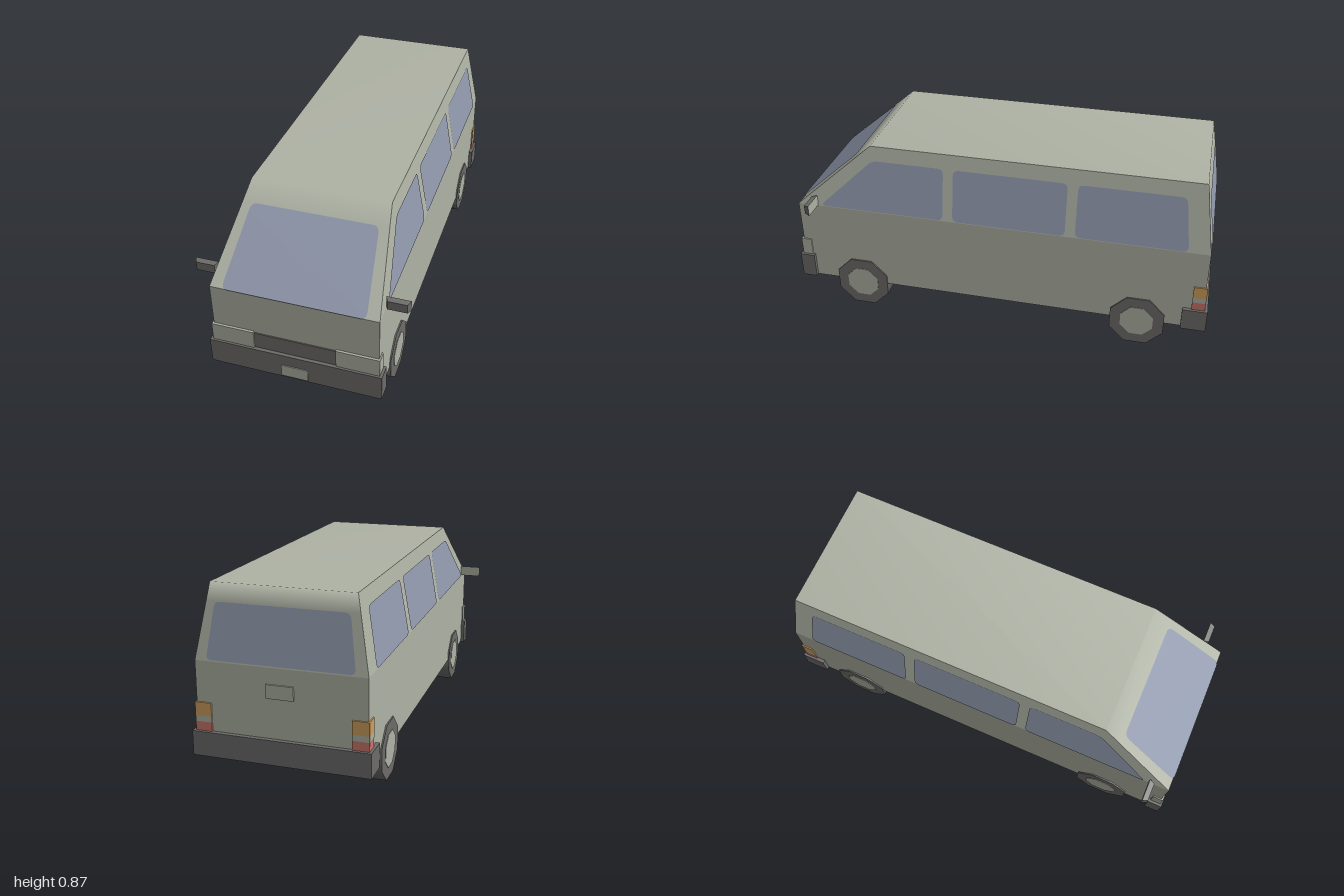
import * as THREE from 'three';

const material = (name, color, side = THREE.FrontSide) => {
  const m = new THREE.MeshStandardMaterial({ color, side });
  m.name = name;
  return m;
};

export function createModel() {
  const van = new THREE.Group();
  van.name = 'van';
  const paint = material('body paint', 0xafb3a5);
  const glass = material('window glass', 0x9098ac);
  const trim = material('dark trim', 0x6e6c6b);
  const amber = material('amber lamp', 0xcfa05c);
  const red = material('red lamp', 0xc8766a);

  const add = (name, geometry, mat) => {
    const mesh = new THREE.Mesh(geometry, mat);
    mesh.name = name;
    van.add(mesh);
    return mesh;
  };
  // Box given by its minimum and maximum on each axis
  const box = (name, mat, x0, x1, y0, y1, z0, z1) => {
    const mesh = add(name, new THREE.BoxGeometry(x1 - x0, y1 - y0, z1 - z0), mat);
    mesh.position.set((x0 + x1) / 2, (y0 + y1) / 2, (z0 + z1) / 2);
    return mesh;
  };

  // Main dimensions and the sloping planes of the cabin
  const BELT = 0.545, ROOF = 0.868;
  const slope = (low, high) => y => low + (high - low) * (y - BELT) / (ROOF - BELT);
  const halfWidth = slope(0.372, 0.313);
  const frontZ = slope(0.975, 0.605);
  const rearZ = slope(-0.98, -0.93);
  const LIFT = 0.004;
  const planes = {
    front: (u, y, d) => [u, y, frontZ(y) + d * 1.5],
    rear: (u, y, d) => [-u, y, rearZ(y) - d],
    left: (u, y, d) => [halfWidth(y) + d, y, -u],
    right: (u, y, d) => [-halfWidth(y) - d, y, u],
  };

  // Flat panel with rounded corners, laid on one of the cabin planes
  const panel = (name, mat, points, radius, plane, lift) => {
    const pts = points.map(p => new THREE.Vector2(...p));
    const shape = new THREE.Shape();
    pts.forEach((p, i) => {
      const prev = pts[(i + pts.length - 1) % pts.length], next = pts[(i + 1) % pts.length];
      const a = p.clone().add(prev.clone().sub(p).setLength(radius));
      const b = p.clone().add(next.clone().sub(p).setLength(radius));
      if (i === 0) shape.moveTo(a.x, a.y); else shape.lineTo(a.x, a.y);
      if (radius > 0) shape.quadraticCurveTo(p.x, p.y, b.x, b.y);
    });
    shape.closePath();
    const geometry = new THREE.ShapeGeometry(shape, 4);
    const pos = geometry.attributes.position;
    for (let i = 0; i < pos.count; i++) pos.setXYZ(i, ...plane(pos.getX(i), pos.getY(i), lift));
    geometry.computeVertexNormals();
    add(name, geometry, mat);
  };

  // Lower body with dark underside
  const lower = box('lowerBody', paint, -0.372, 0.372, 0.132, BELT, -0.98, 0.975);
  lower.material = [paint, paint, paint, trim, paint, paint];

  // Windscreen frame, roof and tail as one softly shaded strip
  const rows = [
    [BELT, frontZ(BELT)], [0.8, frontZ(0.8)], [ROOF, frontZ(ROOF)],
    [ROOF, rearZ(ROOF)], [0.79, rearZ(0.79)], [BELT, rearZ(BELT)],
  ];
  const verts = [], index = [];
  rows.forEach(([y, z], i) => {
    verts.push(-halfWidth(y), y, z, halfWidth(y), y, z);
    const a = i * 2;
    if (i < rows.length - 1) index.push(a, a + 1, a + 3, a, a + 3, a + 2);
  });
  const strip = new THREE.BufferGeometry();
  strip.setAttribute('position', new THREE.Float32BufferAttribute(verts, 3));
  strip.setIndex(index);
  strip.computeVertexNormals();
  add('roofShell', strip, paint);

  // Cabin sides and side windows, drawn as [z, y]
  const cabinSide = [[0.975, BELT], [0.605, ROOF], [-0.93, ROOF], [-0.98, BELT]];
  const sideWindows = {
    FrontWindow: [[0.86, 0.55], [0.595, 0.8], [0.252, 0.8], [0.252, 0.55]],
    MiddleWindow: [[0.205, 0.55], [0.205, 0.8], [-0.325, 0.8], [-0.325, 0.55]],
    RearWindow: [[-0.372, 0.55], [-0.372, 0.8], [-0.85, 0.8], [-0.882, 0.55]],
  };
  for (const [side, sign] of [['left', -1], ['right', 1]]) {
    const place = pts => pts.map(([z, y]) => [sign * z, y]);
    panel(side + 'CabinSide', paint, place(cabinSide), 0, planes[side], 0);
    for (const [name, pts] of Object.entries(sideWindows)) {
      panel(side + name, glass, place(pts), 0.028, planes[side], LIFT);
    }
  }

  // Windscreen and rear window
  panel('windscreen', glass,
    [[-0.317, 0.547], [0.317, 0.547], [0.317, 0.549], [0.283, 0.8], [-0.283, 0.8], [-0.317, 0.549]].filter((p, i) => i !== 2 && i !== 5),
    0.025, planes.front, LIFT);
  panel('rearWindow', glass,
    [[-0.32, 0.552], [0.32, 0.552], [0.288, 0.79], [-0.288, 0.79]], 0.025, planes.rear, LIFT);

  // Bumpers, grille and plates
  box('frontBumper', trim, -0.39, 0.39, 0.131, 0.255, 0.925, 0.996);
  box('rearBumper', trim, -0.39, 0.39, 0.131, 0.24, -1, -0.885);
  box('grille', trim, -0.186, 0.186, 0.25, 0.335, 0.95, 0.98);
  box('frontPlate', paint, -0.06, 0.06, 0.14, 0.2, 0.992, 1);
  box('rearPlate', paint, -0.06, 0.06, 0.415, 0.475, -0.987, -0.978);

  for (const [side, s] of [['left', 1], ['right', -1]]) {
    const sideBox = (name, mat, x0, x1, ...rest) =>
      box(side + name, mat, Math.min(s * x0, s * x1), Math.max(s * x0, s * x1), ...rest);

    // Lamps wrapping round the corners
    sideBox('Headlight', paint, 0.185, 0.378, 0.25, 0.342, 0.935, 0.986);
    sideBox('TailLampRed', red, 0.305, 0.378, 0.235, 0.28, -0.987, -0.925);
    sideBox('TailLampClear', paint, 0.305, 0.378, 0.28, 0.306, -0.987, -0.925);
    sideBox('TailLampAmber', amber, 0.305, 0.378, 0.306, 0.365, -0.987, -0.925);

    // Mirror housing tapers towards the front; pale reflecting face at the back
    const housing = new THREE.BoxGeometry(0.106, 0.052, 0.025);
    const pos = housing.attributes.position;
    for (let i = 0; i < pos.count; i++) {
      if (pos.getZ(i) > 0) pos.setXY(i, pos.getX(i) * 0.8, pos.getY(i) * 0.8);
    }
    housing.computeVertexNormals();
    add(side + 'Mirror', housing, [trim, trim, trim, trim, trim, paint])
      .position.set(s * 0.422, 0.574, 0.887);

    // Eight-sided wheels with a pale hub on both faces
    for (const [end, z] of [['Front', 0.682], ['Rear', -0.682]]) {
      const wheel = new THREE.Group();
      wheel.name = side + end + 'Wheel';
      const tyre = new THREE.CylinderGeometry(0.1375, 0.1375, 0.093, 8);
      const hub = new THREE.CylinderGeometry(0.083, 0.083, 0.097, 8);
      for (const [name, g, mat] of [['tyre', tyre, trim], ['hub', hub, paint]]) {
        g.rotateY(Math.PI / 8).rotateZ(Math.PI / 2);
        const mesh = new THREE.Mesh(g, mat);
        mesh.name = name;
        wheel.add(mesh);
      }
      wheel.position.set(s * 0.332, 0.127, z);
      van.add(wheel);
    }
  }
  return van;
}
